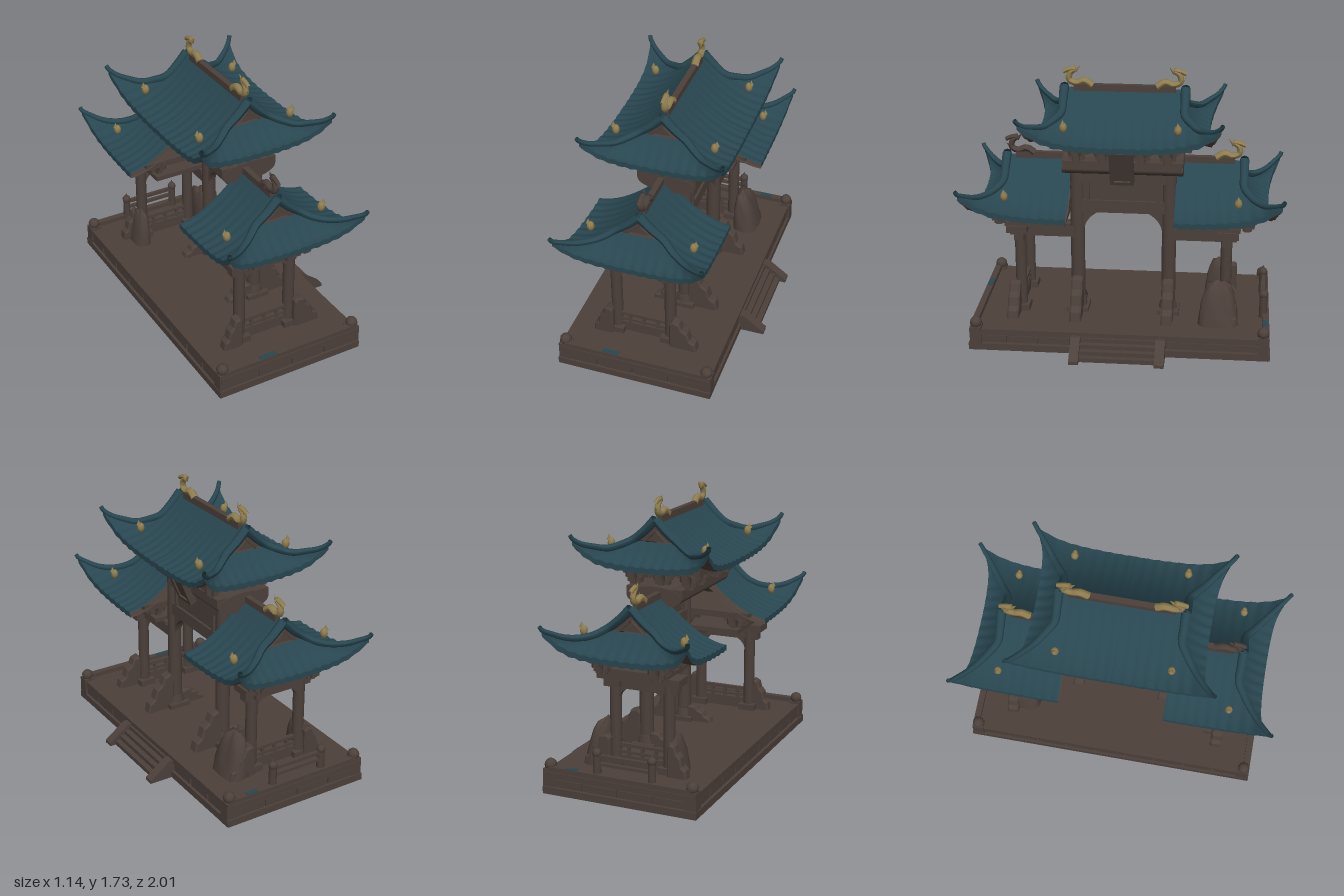
import * as THREE from 'three';

const material = (name, color, side = THREE.FrontSide) => {
  const m = new THREE.MeshStandardMaterial({ color, side });
  m.name = name;
  return m;
};

export function createModel() {
  const root = new THREE.Group();
  root.name = 'gateway';
  const wood = material('weathered brown', 0x4c403a, THREE.DoubleSide);
  const tile = material('teal tile', 0x284650, THREE.DoubleSide);
  const gold = material('dull gold', 0x8f7d4e);

  const add = (parent, name, geo, mat, x = 0, y = 0, z = 0) => {
    const m = new THREE.Mesh(geo, mat);
    m.name = name;
    m.position.set(x, y, z);
    parent.add(m);
    return m;
  };
  // box given by its extents
  const block = (parent, name, x0, x1, y0, y1, z0, z1, mat = wood) =>
    add(parent, name, new THREE.BoxGeometry(x1 - x0, y1 - y0, z1 - z0), mat,
      (x0 + x1) / 2, (y0 + y1) / 2, (z0 + z1) / 2);
  const post = (parent, name, x, z, y0, y1, r0, r1 = r0, sides = 14) =>
    add(parent, name, new THREE.CylinderGeometry(r1, r0, y1 - y0, sides), wood, x, (y0 + y1) / 2, z);
  // surface from a function of two 0..1 parameters
  const grid = (fn, nu, nv) => {
    const pos = [], idx = [];
    for (let i = 0; i <= nu; i++) for (let j = 0; j <= nv; j++) pos.push(...fn(i / nu, j / nv));
    for (let i = 0; i < nu; i++) for (let j = 0; j < nv; j++) {
      const a = i * (nv + 1) + j, b = a + nv + 1;
      idx.push(a, a + 1, b, b, a + 1, b + 1);
    }
    const g = new THREE.BufferGeometry();
    g.setAttribute('position', new THREE.Float32BufferAttribute(pos, 3));
    g.setIndex(idx);
    g.computeVertexNormals();
    return g;
  };
  // tube that narrows toward its end
  const horn = (pts, r, endScale, n = 28, sides = 8) => {
    const curve = new THREE.CatmullRomCurve3(pts.map(p => new THREE.Vector3(...p)));
    const g = new THREE.TubeGeometry(curve, n, r, sides);
    const p = g.attributes.position, v = new THREE.Vector3();
    for (let i = 0; i < p.count; i++) {
      const u = Math.floor(i / (sides + 1)) / n;
      v.fromBufferAttribute(p, i).lerp(curve.getPointAt(u), (1 - endScale) * u);
      p.setXYZ(i, v.x, v.y, v.z);
    }
    g.computeVertexNormals();
    return g;
  };

  // One end (toward +z) of a hip-and-gable roof with swept corners
  function roofHalf(parent, { cx, yR, D, lift, zIn, zg, hz, hx, dragonMat }) {
    const g = new THREE.Group();
    g.name = 'roofHalf';
    g.position.x = cx;
    parent.add(g);
    const tg = 0.35;
    const prof = t => yR - D * (1 - Math.pow(1 - t, 1.7));
    const zext = t => zg + (hz - zg) * Math.max(0, (t - tg) / (1 - tg));
    // gentle sweep along the eave, sharp upturn at the corner
    const sweep = (q, t) => (0.35 * q ** 2.4 + 0.65 * q ** 9) * t ** 3;
    const slope = (t, s, sx, drop = 0) => {
      const k = sweep(s, t), z = zIn + (zext(t) - zIn) * s;
      return [sx * (hx * t + 0.03 * k), prof(t) + lift * k + 0.004 * t * Math.sin(z * 95) - drop, z + 0.075 * k];
    };
    const end = (t, q, drop = 0) => {
      const k = sweep(Math.abs(q), t), x = q * (hx * t + 0.03 * k);
      return [x, prof(t) + lift * k + 0.004 * t * Math.sin(x * 95) - drop, zext(t) + 0.075 * k];
    };
    const tE = u => tg + (1 - tg) * u, under = t => 0.034 + 0.035 * (1 - t);
    for (const sx of [1, -1]) {
      add(g, 'tileSlope', grid((t, s) => slope(t, s, sx), 20, 60), tile);
      add(g, 'slopeSoffit', grid((t, s) => slope(t, s, sx, under(t)), 20, 40), wood);
      add(g, 'sideEave', grid((u, s) => slope(1, s, sx, 0.034 * u), 1, 60), tile);
      // barge and hip ridge running out to the corner tip
      const pts = [0, 0.18, 0.35, 0.5, 0.65, 0.8, 0.92, 1].map(t => {
        const p = slope(t, 1, sx);
        return [p[0], p[1] + 0.004, p[2]];
      });
      const tip = pts[pts.length - 1];
      pts.push([tip[0] + sx * 0.008, tip[1] + 0.02, tip[2] + 0.01]);
      add(g, 'hipRidge', horn(pts, 0.03, 0.45), tile);
      // little guardian on each hip
      const b = slope(0.74, 0.94, sx);
      const beast = add(g, 'roofBeast', new THREE.SphereGeometry(0.024, 8, 6), gold, b[0], b[1] + 0.03, zg - 0.03);
      beast.scale.set(1, 1.35, 1);
      add(g, 'beastHead', new THREE.ConeGeometry(0.016, 0.035, 6), gold, b[0] + sx * 0.014, b[1] + 0.066, zg - 0.03);
    }
    add(g, 'tileEnd', grid((u, v) => end(tE(u), v * 2 - 1), 14, 80), tile);
    add(g, 'endSoffit', grid((u, v) => end(tE(u), v * 2 - 1, under(tE(u))), 14, 40), wood);
    add(g, 'endEave', grid((u, v) => end(1, v * 2 - 1, 0.034 * u), 1, 80), tile);
    // gable wall
    const ts = [0, 0.12, 0.24, 0.35];
    const right = ts.map(t => new THREE.Vector2(hx * t, prof(t)));
    const left = ts.slice(1).reverse().map(t => new THREE.Vector2(-hx * t, prof(t)));
    add(g, 'gableWall', new THREE.ShapeGeometry(new THREE.Shape([...right, ...left])), wood, 0, 0, zg - 0.02);
    // ridge beam with a curled dragon at its end
    block(g, 'ridgeBeam', -0.018, 0.018, yR - 0.03, yR + 0.022, zIn, zg - 0.06);
    const d = zg - 0.375;
    const curl = [[0, 0, 0.2], [0, 0.03, 0.25], [0, 0.015, 0.3], [0, 0.035, 0.345], [0, 0.08, 0.335], [0, 0.105, 0.3], [0, 0.1, 0.345], [0, 0.085, 0.38]];
    add(g, 'ridgeDragon', horn(curl.map(p => [p[0], yR + 0.012 + p[1], p[2] + d]), 0.025, 0.55, 30, 7), dragonMat);
    [[0.06, 0.36], [0.12, 0.29], [0.05, 0.26]].forEach(([y, z], i) => {
      const fin = add(g, 'dragonFin', new THREE.ConeGeometry(0.014, 0.05, 5), dragonMat, 0, yR + y, z + d);
      fin.rotation.x = [1.1, -0.7, -0.2][i];
    });
  }

  // Stacked bracket set widening upward
  function bracket(parent, x, y, z, h) {
    const g = new THREE.Group();
    g.name = 'bracketSet';
    g.position.set(x, y, z);
    parent.add(g);
    for (let i = 0; i < 3; i++) {
      const w = 0.03 + 0.03 * i, y0 = h * i / 3, y1 = h * (i + 0.75) / 3;
      block(g, 'crossArm', -w, w, y0, y1, -0.016, 0.016);
      block(g, 'longArm', -0.016, 0.016, y0, y1, -w, w);
      for (const a of [1, -1]) {
        block(g, 'armCap', a * w - 0.016, a * w + 0.016, y0 + h * 0.12, y1 + h * 0.1, -0.018, 0.018);
        block(g, 'armCap', -0.018, 0.018, y0 + h * 0.12, y1 + h * 0.1, a * w - 0.016, a * w + 0.016);
        const diagonal = block(g, 'diagonalArm', -w, w, y0, y1, -0.012, 0.012);
        diagonal.rotation.y = a * Math.PI / 4;
      }
    }
  }

  // Rugged buttress stone: outline in x/y, thin in z, sx points away from the pillar
  function stone(parent, x, z, w, h, depth, sx) {
    const s = new THREE.Shape([[0, 0], [1, 0], [0.93, 0.25], [0.72, 0.36], [0.62, 0.62], [0.4, 0.75], [0.3, 0.95], [0.1, 1], [0, 0.92]]
      .map(([a, b]) => new THREE.Vector2(a * w, b * h)));
    const g = new THREE.ExtrudeGeometry(s, { depth, bevelSize: 0.01, bevelThickness: 0.012, bevelSegments: 1 });
    const m = add(parent, 'buttressStone', g, wood, x, 0.135, z - depth / 2);
    m.scale.x = sx;
  }

  // Free-standing rock: a squarish dome with a rippled surface, leaning inward
  function rock(x, z, rx, h, rz, lean) {
    const g = new THREE.SphereGeometry(1, 20, 14), p = g.attributes.position;
    for (let i = 0; i < p.count; i++) {
      const [a, b, c] = [p.getX(i), p.getY(i), p.getZ(i)];
      const f = (1 + 0.06 * Math.sin(7 * a + 5 * b) * Math.cos(6 * c - 4 * b)) / Math.pow(a ** 4 + b ** 4 + c ** 4, 0.2);
      const y = Math.max(b * f, -0.05);
      p.setXYZ(i, a * f * rx * (1 - 0.35 * y) - lean * y, y * h, c * f * rz * (1 - 0.2 * y));
    }
    g.computeVertexNormals();
    add(root, 'standingRock', g, wood, x, 0.14, z);
  }

  // Platform in layers
  block(root, 'platformBase', -0.57, 0.425, 0, 0.045, -0.945, 0.945);
  block(root, 'platformCore', -0.545, 0.4, 0.045, 0.1, -0.925, 0.925);
  block(root, 'platformTop', -0.56, 0.415, 0.1, 0.14, -0.94, 0.94);
  for (const z of [0.915, -0.915]) block(root, 'endCurb', -0.53, 0.39, 0.14, 0.17, z - 0.02, z + 0.02);
  for (let i = 0; i < 9; i++) for (const x of [-0.548, 0.403]) {
    const z = -0.8 + i * 0.2;
    block(root, 'platformBlock', x - 0.008, x + 0.008, 0.05, 0.095, z - 0.092, z + 0.092);
  }
  for (let i = 0; i < 4; i++) for (const z of [-0.928, 0.928]) {
    const x = -0.42 + i * 0.232;
    block(root, 'endBlock', x - 0.105, x + 0.105, 0.05, 0.095, z - 0.008, z + 0.008);
  }
  for (const x of [-0.53, 0.39]) for (const z of [0.9, -0.9]) {
    block(root, 'cornerPost', x - 0.036, x + 0.036, 0, 0.155, z - 0.036, z + 0.036);
    add(root, 'postKnob', new THREE.SphereGeometry(0.038, 10, 8), wood, x, 0.175, z);
  }
  block(root, 'tilePatch', -0.28, -0.17, 0.169, 0.173, 0.9, 0.93, tile);
  block(root, 'tilePatch', 0.2, 0.28, 0.169, 0.173, -0.93, -0.9, tile);

  // Fence along the rear edge
  for (const x of [-0.275, 0.08]) {
    post(root, 'fencePost', x, -0.9, 0.14, 0.28, 0.026, 0.024, 8);
    add(root, 'fenceKnob', new THREE.SphereGeometry(0.028, 10, 8), wood, x, 0.295, -0.9);
    add(root, 'fenceTip', new THREE.ConeGeometry(0.016, 0.04, 8), wood, x, 0.325, -0.9);
  }
  for (const [y0, y1] of [[0.22, 0.238], [0.264, 0.286]]) block(root, 'fenceRail', -0.27, 0.1, y0, y1, -0.912, -0.888);

  // Steps with sloping side walls
  for (let i = 0; i < 4; i++) block(root, 'step', 0.4, 0.43 + 0.035 * i, 0, 0.11 - 0.027 * i, -0.24, 0.24);
  const cheek = new THREE.Shape([[0.38, 0], [0.575, 0], [0.575, 0.02], [0.44, 0.12], [0.38, 0.12]].map(p => new THREE.Vector2(...p)));
  for (const z of [0.235, -0.295])
    add(root, 'stairWall', new THREE.ExtrudeGeometry(cheek, { depth: 0.06, bevelEnabled: false }), wood, 0, 0, z);

  // Everything repeated at both ends
  for (const sz of [1, -1]) {
    const g = new THREE.Group();
    g.name = sz > 0 ? 'frontHalf' : 'backHalf';
    g.scale.z = sz;
    root.add(g);

    roofHalf(g, { cx: -0.058, yR: 1.595, D: 0.26, lift: 0.15, zIn: 0, zg: 0.375, hz: 0.53, hx: 0.405, dragonMat: gold });
    roofHalf(g, { cx: -0.075, yR: 1.14, D: 0.27, lift: 0.155, zIn: 0.33, zg: 0.75, hz: 0.91, hx: 0.425, dragonMat: sz > 0 ? wood : gold });

    // main pillar and centre frame
    block(g, 'mainPlinth', -0.03, 0.12, 0.14, 0.17, 0.22, 0.36);
    post(g, 'mainPillarFoot', 0.045, 0.29, 0.17, 0.22, 0.058, 0.05);
    post(g, 'mainPillar', 0.045, 0.29, 0.14, 1.18, 0.045);
    const knee = new THREE.Shape();
    knee.moveTo(0.25, 0.83); knee.lineTo(0.25, 0.68); knee.quadraticCurveTo(0.24, 0.79, 0.13, 0.83);
    const brace = add(g, 'cornerBrace', new THREE.ExtrudeGeometry(knee, { depth: 0.05, bevelEnabled: false }), wood, 0.07, 0, 0);
    brace.rotation.y = -Math.PI / 2;
    stone(g, 0.08, 0.29, 0.18, 0.24, 0.05, 1);
    stone(g, 0.0, 0.29, 0.15, 0.1, 0.05, -1);

    // side bay frame
    for (const [x, dir] of [[-0.275, -1], [0.075, 1]]) {
      block(g, 'sidePlinth', x - 0.055, x + 0.055, 0.14, 0.18, 0.6, 0.71);
      post(g, 'sidePillar', x, 0.655, 0.14, 0.74, 0.036);
      stone(g, x + dir * 0.02, 0.69, dir > 0 ? 0.16 : 0.11, 0.2, 0.05, dir);
      const strut = new THREE.Shape();
      strut.moveTo(0, 0.65); strut.lineTo(0, 0.57); strut.quadraticCurveTo(0.01, 0.62, 0.09, 0.65);
      const m = add(g, 'innerBrace', new THREE.ExtrudeGeometry(strut, { depth: 0.04, bevelEnabled: false }), wood, x - dir * 0.03, 0, 0.635);
      m.scale.x = -dir;
    }
    block(g, 'sideLintel', -0.34, 0.14, 0.635, 0.7, 0.625, 0.685);
    block(g, 'lintelCap', -0.37, 0.165, 0.695, 0.74, 0.6, 0.73);
    block(g, 'tieBeam', 0.02, 0.085, 0.65, 0.72, 0.3, 0.72);
    block(g, 'tieBeamCap', 0.01, 0.095, 0.715, 0.74, 0.33, 0.73);
    // low railing between the side pillars
    for (const [y0, y1] of [[0.14, 0.21], [0.222, 0.24], [0.265, 0.285]]) block(g, 'rail', -0.26, 0.06, y0, y1, 0.645, 0.67);
    for (const x of [-0.19, -0.1, -0.01]) block(g, 'railPost', x - 0.01, x + 0.01, 0.2, 0.28, 0.648, 0.667);

    // brackets and eave frames
    for (const x of [-0.26, 0.1]) {
      for (const z of [0.44, 0.56, 0.68, 0.78]) bracket(g, x, 0.74, z, 0.14);
      for (const z of [0.12, 0.28]) bracket(g, x + 0.02, 1.17, z, 0.15);
    }
    bracket(g, -0.065, 1.17, 0.28, 0.15);
    block(g, 'bracketBeam', -0.3, 0.15, 0.735, 0.765, 0.36, 0.74);
    block(g, 'sideEaveFrame', -0.38, 0.24, 0.845, 0.885, 0.34, 0.82);
    block(g, 'topEaveFrame', -0.37, 0.25, 1.29, 1.345, 0, 0.43);
  }

  // Centre lintels over the main opening
  block(root, 'archLintel', 0.01, 0.08, 0.82, 0.9, -0.28, 0.28);
  block(root, 'panel', 0.03, 0.065, 0.9, 1.08, -0.27, 0.27);
  block(root, 'panelTopBeam', 0.01, 0.085, 1.02, 1.08, -0.28, 0.28);
  for (const z of [-0.22, 0.22]) block(root, 'panelStile', 0.02, 0.08, 0.89, 1.03, z - 0.012, z + 0.012);
  const roll = add(root, 'roundBeam', new THREE.CylinderGeometry(0.065, 0.065, 0.75, 20), wood, -0.045, 1.125, 0);
  roll.rotation.x = Math.PI / 2;
  roll.scale.x = 2.8;
  block(root, 'topBeam', -0.23, 0.14, 1.125, 1.18, -0.37, 0.37);

  // Blank tilted board under the top eave
  const board = new THREE.Group();
  board.name = 'blankBoard';
  board.position.set(0.17, 1.155, 0);
  board.rotation.z = -0.4;
  root.add(board);
  block(board, 'boardPanel', -0.02, 0.01, -0.12, 0.12, -0.06, 0.06);
  for (const s of [1, -1]) {
    block(board, 'boardSide', -0.025, 0.022, -0.125, 0.125, s * 0.062 - 0.012, s * 0.062 + 0.012);
    block(board, 'boardEdge', -0.025, 0.022, s * 0.115 - 0.012, s * 0.115 + 0.012, -0.07, 0.07);
  }

  // Standing rocks beside the rear bay
  rock(0.19, -0.615, 0.085, 0.27, 0.125, 0.03);
  rock(-0.32, -0.62, 0.055, 0.23, 0.1, -0.02);
  return root;
}
